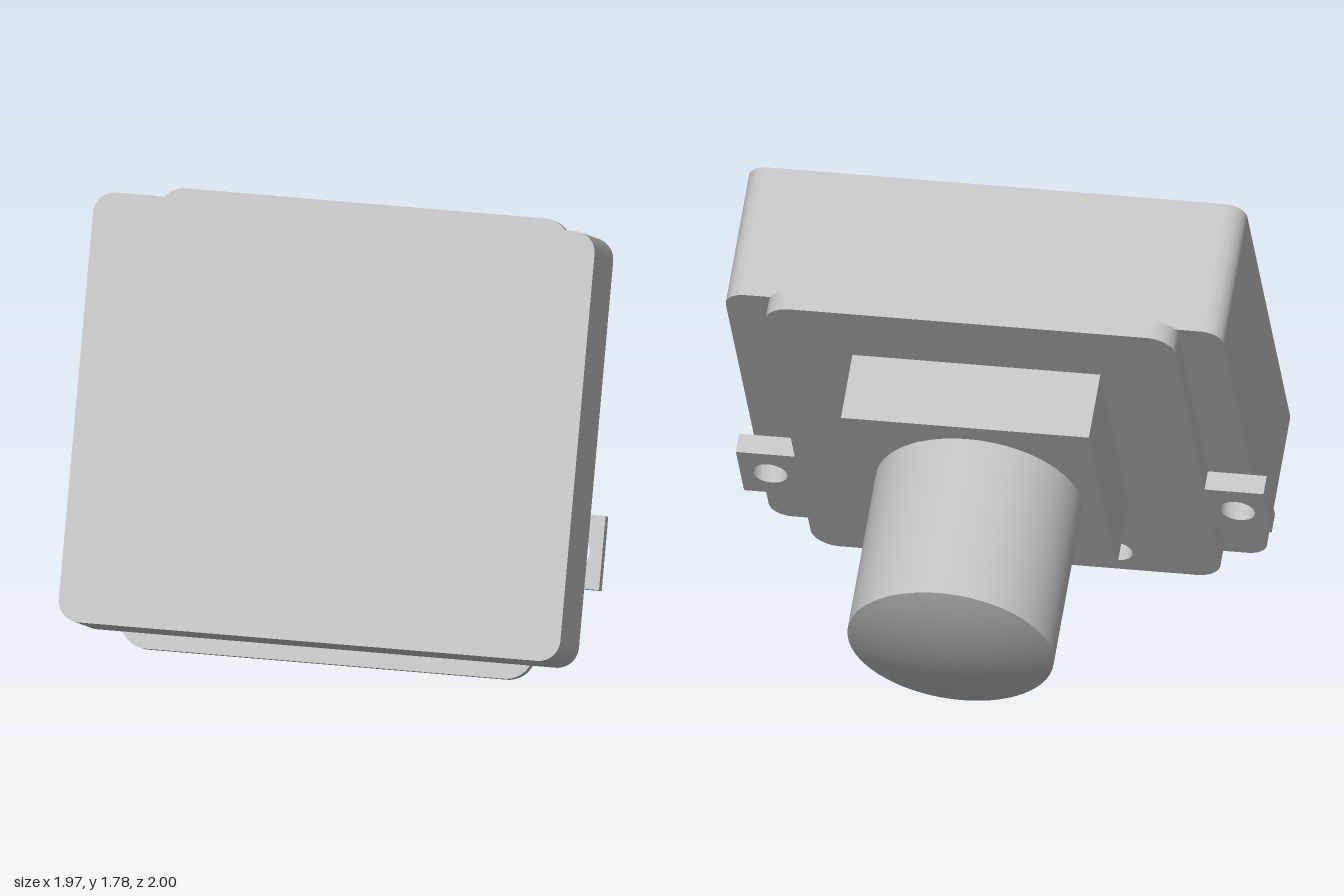
import * as THREE from 'three';
import { toCreasedNormals } from 'three/addons/utils/BufferGeometryUtils.js';

// Outline centred on x = 0 from y0 to y1 with rounded corners and optional side tabs
function outline(hw, y0, y1, r, tab) {
  const s = new THREE.Shape();
  s.moveTo(-hw + r, y0);
  s.lineTo(hw - r, y0);
  s.absarc(hw - r, y0 + r, r, -Math.PI / 2, 0, false);
  if (tab) {
    s.lineTo(hw, tab.y0);
    s.lineTo(tab.x, tab.y0);
    s.lineTo(tab.x, tab.y1);
    s.lineTo(hw, tab.y1);
  }
  s.lineTo(hw, y1 - r);
  s.absarc(hw - r, y1 - r, r, 0, Math.PI / 2, false);
  s.lineTo(-hw + r, y1);
  s.absarc(-hw + r, y1 - r, r, Math.PI / 2, Math.PI, false);
  if (tab) {
    s.lineTo(-hw, tab.y1);
    s.lineTo(-tab.x, tab.y1);
    s.lineTo(-tab.x, tab.y0);
    s.lineTo(-hw, tab.y0);
  }
  s.lineTo(-hw, y0 + r);
  s.absarc(-hw + r, y0 + r, r, Math.PI, Math.PI * 1.5, false);
  return s;
}

// Straight extrusion between two depths, smooth around curves
function slab(shape, z0, z1) {
  const g = new THREE.ExtrudeGeometry(shape, { depth: z1 - z0, bevelEnabled: false, curveSegments: 12 });
  g.translate(0, 0, z0);
  return toCreasedNormals(g, 0.6);
}

export function createModel() {
  const model = new THREE.Group();
  const tilted = new THREE.Group();
  tilted.name = 'tiltedButton';
  tilted.rotation.x = -0.614;
  tilted.position.y = -0.008;
  model.add(tilted);

  const grey = new THREE.MeshStandardMaterial({ color: 0xc0c0c0 });
  grey.name = 'light grey';
  const add = (name, geometry) => {
    const mesh = new THREE.Mesh(geometry, grey);
    mesh.name = name;
    tilted.add(mesh);
    return mesh;
  };

  // Large front cap
  add('frontCap', slab(outline(0.93, -0.17, 1.413, 0.08), 0.558, 1.105));

  // Mounting plate with two side tabs and four holes
  const plate = outline(0.765, -0.226, 1.469, 0.1, { x: 0.985, y0: 0.127, y1: 0.4 });
  for (const side of [-1, 1]) {
    for (const [x, y] of [[0.873, 0.263], [0.375, -0.1]]) {
      const hole = new THREE.Path();
      hole.absarc(side * x, y, 0.065, 0, Math.PI * 2, true);
      plate.holes.push(hole);
    }
  }
  add('mountingPlate', slab(plate, 0.48, 0.558));

  // Square block behind the plate
  const block = add('rearBlock', new THREE.BoxGeometry(0.926, 0.93, 0.27));
  block.position.set(0, 0.71, 0.345);

  // Round barrel
  const barrel = add('barrel', new THREE.CylinderGeometry(0.383, 0.383, 0.66, 64, 1, true));
  barrel.rotation.x = -Math.PI / 2;
  barrel.position.set(0, 0.713, -0.121);

  // Shallow domed end of the barrel
  const dome = [];
  const rise = 0.055, radius = (0.383 ** 2 + rise ** 2) / (2 * rise);
  const span = Math.asin(0.383 / radius);
  for (let i = 0; i <= 8; i++) {
    const a = span * (1 - i / 8);
    dome.push(new THREE.Vector2(radius * Math.sin(a), radius * Math.cos(a) - radius + rise));
  }
  dome[8].x = 0;
  const end = add('domedEnd', new THREE.LatheGeometry(dome, 64));
  end.rotation.x = -Math.PI / 2;
  end.position.set(0, 0.713, -0.451);

  return model;
}
